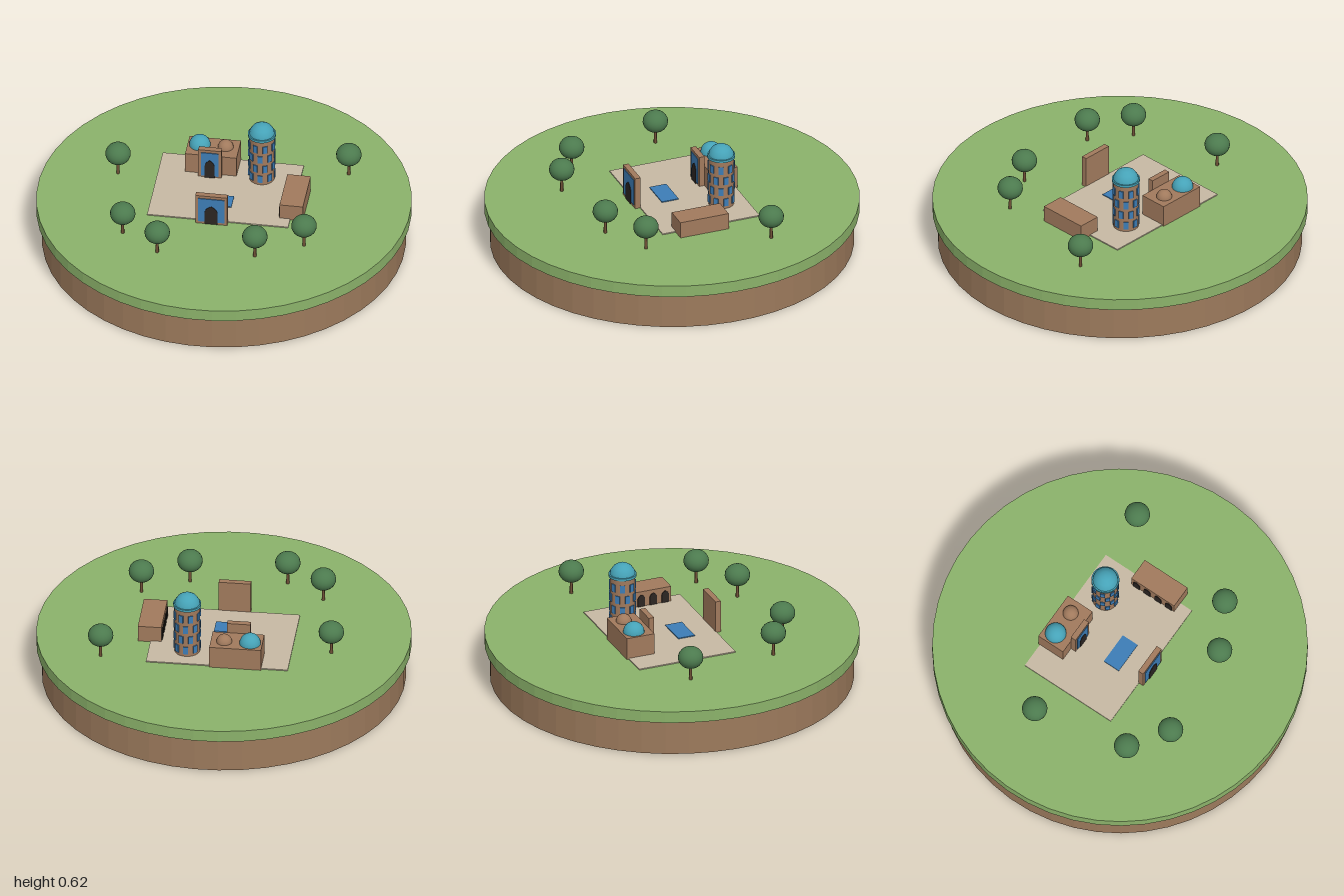
import * as THREE from 'three';

const mat = (name, color) => {
  const m = new THREE.MeshStandardMaterial({ color });
  m.name = name;
  return m;
};

// Facet a geometry by giving every face its own normals
const flat = (geo) => {
  const g = geo.toNonIndexed();
  g.computeVertexNormals();
  return g;
};

// Pointed arch plate standing on y = 0, facing +z
const archPlate = (w, h, depth) => {
  const s = new THREE.Shape();
  const spring = h * 0.6;
  s.moveTo(-w / 2, 0);
  s.lineTo(w / 2, 0);
  s.lineTo(w / 2, spring);
  s.quadraticCurveTo(w / 2, h * 0.86, 0, h);
  s.quadraticCurveTo(-w / 2, h * 0.86, -w / 2, spring);
  s.closePath();
  return new THREE.ExtrudeGeometry(s, { depth, bevelEnabled: false, curveSegments: 6 });
};

export function createModel() {
  const grass = mat('grass', 0x8bb26a);
  const soil = mat('soil', 0x9c7a5c);
  const paving = mat('paving', 0xc6b9a3);
  const brick = mat('brick', 0xa17a5d);
  const blue = mat('blue tile', 0x3d7db6);
  const teal = mat('teal dome', 0x46a3b8);
  const dark = mat('dark opening', 0x2b2522);
  const leaf = mat('leaf', 0x4c7a4e);
  const bark = mat('bark', 0x6e4f35);

  const model = new THREE.Group();
  model.name = 'island';
  const add = (parent, name, geo, material, x = 0, y = 0, z = 0) => {
    const m = new THREE.Mesh(geo, material);
    m.name = name;
    m.position.set(x, y, z);
    parent.add(m);
    return m;
  };
  const group = (parent, name, x, y, z) => {
    const g = new THREE.Group();
    g.name = name;
    g.position.set(x, y, z);
    parent.add(g);
    return g;
  };
  // Box given by its base centre
  const block = (parent, name, w, h, d, material, x = 0, y = 0, z = 0) =>
    add(parent, name, new THREE.BoxGeometry(w, h, d), material, x, y + h / 2, z);

  // Round island
  const G = 0.263;
  add(model, 'soilBase', flat(new THREE.CylinderGeometry(0.97, 0.97, 0.2, 48)), soil, 0, 0.1, 0);
  add(model, 'grassDisc', flat(new THREE.CylinderGeometry(1, 1, G - 0.198, 48)), grass, 0, (G + 0.198) / 2, 0);

  // Courtyard, turned on the island
  const court = group(model, 'courtyard', 0.022, G, -0.07);
  court.rotation.y = -Math.PI / 9;
  block(court, 'plaza', 0.76, 0.006, 0.556, paving);
  block(court, 'pool', 0.178, 0.005, 0.096, blue, -0.034, 0.006, 0.104);

  // Portals: brick slab, tiled panel, pointed opening
  const portal = (name, w, x, z, archW) => {
    const p = group(court, name, x, 0, z);
    block(p, 'portalSlab', w, 0.181, 0.031, brick);
    block(p, 'tilePanel', w - 0.03, 0.15, 0.004, blue, 0, 0.015, 0.0175);
    add(p, 'portalOpening', archPlate(archW, 0.115, 0.004), dark, 0, 0.004, 0.0185);
  };
  portal('frontGate', 0.172, -0.03, 0.29, 0.07);
  portal('hallPortal', 0.125, -0.1, -0.115, 0.055);

  // Domed hall at the back
  const hall = group(court, 'domedHall', -0.099, 0, -0.209);
  block(hall, 'hallBody', 0.277, 0.124, 0.159, brick);
  const dome = (parent, name, r, material, x, y, z) =>
    add(parent, name, new THREE.SphereGeometry(r, 20, 8, 0, Math.PI * 2, 0, Math.PI / 2), material, x, y, z);
  dome(hall, 'largeDome', 0.057, teal, -0.073, 0.124, -0.013);
  dome(hall, 'smallDome', 0.042, brick, 0.066, 0.124, -0.012);

  // Side arcade with four arches facing the court
  const arcade = group(court, 'arcade', 0.385, 0, 0.065);
  block(arcade, 'arcadeBody', 0.126, 0.092, 0.277, brick);
  for (let i = 0; i < 4; i++) {
    const a = add(arcade, 'arcadeArch', archPlate(0.042, 0.068, 0.005), dark, -0.0625, 0.006, (i - 1.5) * 0.069);
    a.rotation.y = -Math.PI / 2;
  }

  // Round tower with rows of tiled windows and a dome
  const tower = group(court, 'tower', 0.175, 0, -0.14);
  const R = 0.068, H = 0.29;
  add(tower, 'towerShaft', new THREE.CylinderGeometry(R, R, H, 24), brick, 0, H / 2, 0);
  for (let row = 0; row < 4; row++) {
    for (let i = 0; i < 8; i++) {
      const a = ((i + (row % 2) / 2) / 8) * Math.PI * 2;
      const w = block(tower, 'towerWindow', 0.026, 0.044, 0.008, blue,
        Math.sin(a) * R, 0.022 + row * 0.064, Math.cos(a) * R);
      w.rotation.y = a;
    }
  }
  add(tower, 'towerCornice', new THREE.CylinderGeometry(0.075, 0.075, 0.014, 24), teal, 0, H + 0.004, 0);
  add(tower, 'towerDome', new THREE.SphereGeometry(0.07, 20, 4, 0, Math.PI * 2, 0, Math.PI / 2), teal, 0, H, 0);

  // Trees
  const spots = [
    [-0.508, -0.337], [0.695, -0.086], [-0.588, 0.19],
    [-0.441, 0.393], [0.061, 0.532], [0.337, 0.489],
  ];
  const trunkGeo = new THREE.CylinderGeometry(0.007, 0.009, 0.1, 8);
  const crownGeo = new THREE.SphereGeometry(0.068, 20, 14).scale(1, 0.88, 1);
  for (const [x, z] of spots) {
    const t = group(model, 'tree', x, G, z);
    add(t, 'trunk', trunkGeo, bark, 0, 0.05, 0);
    add(t, 'crown', crownGeo, leaf, 0, 0.13, 0);
  }
  return model;
}
